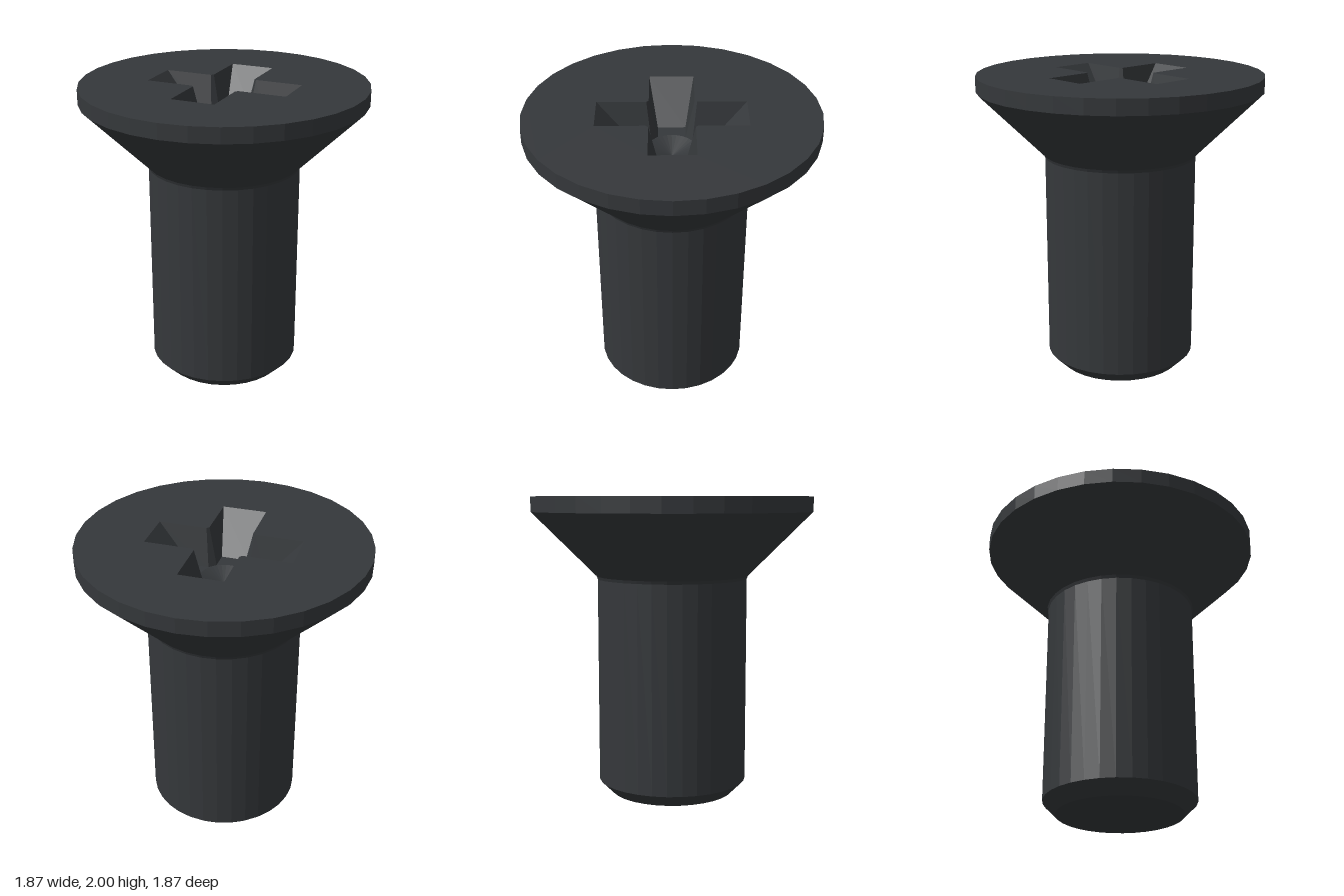
import * as THREE from 'three';

const SEGMENTS = 32;
const TOP = 2;
const FLOOR = 1.75;
const HEAD_R = 0.935;
const PIT_R = 0.155;

// Cross outline: arm length, half width and start of the cut inner corner
function crossOutline(length, half, corner) {
  const points = [];
  for (let i = 0; i < 4; i++) {
    for (const [x, y] of [[length, -half], [length, half], [corner, half], [half, corner]]) {
      points.push(new THREE.Vector2(x, y).rotateAround(new THREE.Vector2(), i * Math.PI / 2));
    }
  }
  return points;
}

function circleOutline(radius) {
  return Array.from({ length: SEGMENTS }, (_, i) => {
    const a = i / SEGMENTS * Math.PI * 2;
    return new THREE.Vector2(Math.cos(a) * radius, Math.sin(a) * radius);
  });
}

// Flat horizontal plate with a hole, facing up
function plate(outline, hole, y) {
  const shape = new THREE.Shape(outline);
  shape.holes.push(new THREE.Path(hole));
  return new THREE.ShapeGeometry(shape).rotateX(-Math.PI / 2).translate(0, y, 0);
}

// Inward-facing walls between two outlines at different heights
function walls(upper, lower) {
  const position = [];
  const index = [];
  const n = upper.length;
  for (const p of upper) position.push(p.x, TOP, -p.y);
  for (const p of lower) position.push(p.x, FLOOR, -p.y);
  for (let i = 0; i < n; i++) {
    const j = (i + 1) % n;
    index.push(i, j, n + i, j, n + j, n + i);
  }
  const geometry = new THREE.BufferGeometry();
  geometry.setAttribute('position', new THREE.Float32BufferAttribute(position, 3));
  geometry.setIndex(index);
  const flat = geometry.toNonIndexed();
  flat.computeVertexNormals();
  return flat;
}

function lathe(profile) {
  return new THREE.LatheGeometry(profile.map(([r, y]) => new THREE.Vector2(r, y)), SEGMENTS);
}

export function createModel() {
  const model = new THREE.Group();
  model.name = 'countersunkScrew';
  const material = new THREE.MeshStandardMaterial({
    color: 0x35383b, flatShading: true, side: THREE.DoubleSide,
  });
  const add = (name, geometry) => {
    const mesh = new THREE.Mesh(geometry, material);
    mesh.name = name;
    model.add(mesh);
  };

  // Shank with chamfered tip
  add('shank', lathe([[0, 0], [0.415, 0], [0.5, 0.085], [0.5, 1.455]]));

  // Conical head with a small fillet below and a straight rim
  add('head', lathe([[0.5, 1.455], [0.508, 1.475], [HEAD_R, 1.9], [HEAD_R, TOP]]));

  // Cross recess with tapered walls and a conical pit in its floor
  const upper = crossOutline(0.475, 0.145, 0.16);
  const lower = crossOutline(0.25, 0.09, 0.132);
  add('headTop', plate(circleOutline(HEAD_R), upper, TOP));
  add('recessWalls', walls(upper, lower));
  add('recessFloor', plate(lower, circleOutline(PIT_R), FLOOR));
  add('recessPit', lathe([[0, FLOOR - 0.06], [PIT_R, FLOOR]]));

  return model;
}
